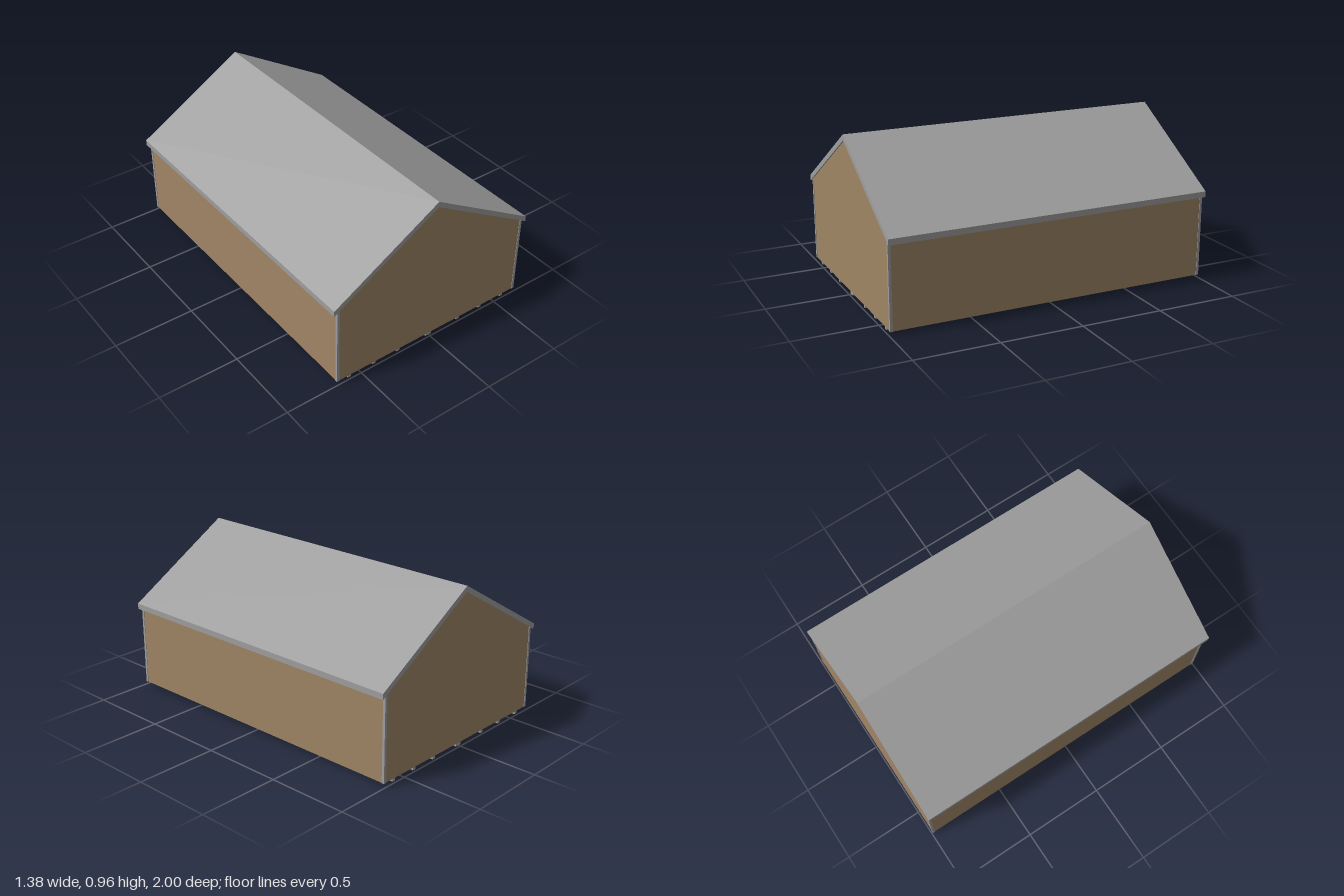
import * as THREE from 'three';

const brown = new THREE.MeshStandardMaterial({ color: 0xa08565 });
brown.name = 'wood brown';
const grey = new THREE.MeshStandardMaterial({ color: 0x9e9e9e });
grey.name = 'metal grey';

const SLOPE = 0.594, BASE = 0.022, UNDER = 0.93;
const roofY = (x, peak) => peak - SLOPE * Math.abs(x);

export function createModel() {
  const model = new THREE.Group();

  const add = (name, geometry, material, x = 0, y = 0, z = 0) => {
    const mesh = new THREE.Mesh(geometry, material);
    mesh.name = name;
    mesh.position.set(x, y, z);
    model.add(mesh);
  };

  // Extrudes an outline in x, y along z, centred on z = 0
  const prism = (points, depth) => {
    const shape = new THREE.Shape(points.map(([x, y]) => new THREE.Vector2(x, y)));
    return new THREE.ExtrudeGeometry(shape, { depth, bevelEnabled: false }).translate(0, 0, -depth / 2);
  };

  // Bent slab following both roof pitches
  const chevron = (halfWidth, bottom, top, depth) => prism([
    [-halfWidth, roofY(halfWidth, bottom)], [0, bottom], [halfWidth, roofY(halfWidth, bottom)],
    [halfWidth, roofY(halfWidth, top)], [0, top], [-halfWidth, roofY(halfWidth, top)],
  ], depth);

  // Roof with its inner lining
  add('roof', chevron(0.69, UNDER, 0.965, 2), grey);
  add('ceilingLining', chevron(0.655, UNDER - 0.004, UNDER - 0.0005, 1.97), brown);

  // Gable ends, open underneath
  const w = 0.65, eave = roofY(w, UNDER);
  const gable = prism([[-w, BASE], [w, BASE], [w, eave], [0, UNDER], [-w, eave]], 0.006);
  add('frontWall', gable, brown, 0, 0, 0.989);
  add('backWall', gable, brown, 0, 0, -0.989);

  // Side walls and corner posts
  const sideTop = roofY(0.662, UNDER), sideHeight = sideTop - BASE;
  const postHeight = roofY(0.665, UNDER) - BASE;
  for (const s of [-1, 1]) {
    add(s > 0 ? 'leftWall' : 'rightWall', new THREE.BoxGeometry(0.006, sideHeight, 1.962),
      brown, s * 0.659, BASE + sideHeight / 2, 0);
    for (const e of [-1, 1]) {
      add('cornerPost', new THREE.BoxGeometry(0.016, postHeight, 0.016),
        grey, s * 0.657, BASE + postHeight / 2, e * 0.987);
    }
  }

  // Floor runners along the length, the middle one wider
  for (const x of [-0.572, -0.398, -0.225, 0, 0.225, 0.398, 0.572]) {
    add('floorRunner', new THREE.BoxGeometry(x === 0 ? 0.042 : 0.021, 0.024, 1.972), grey, x, 0.012, 0);
  }

  return model;
}
